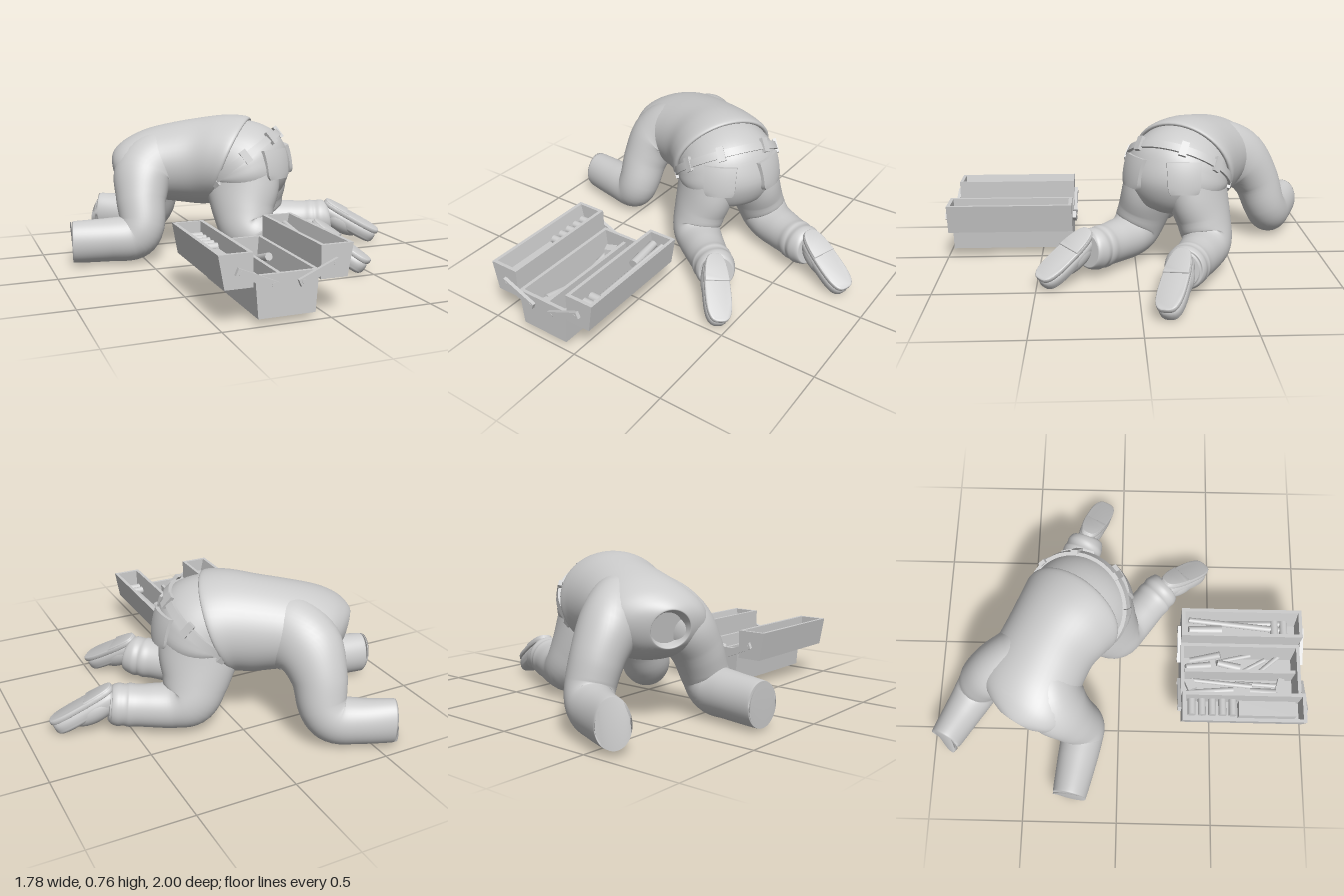
import * as THREE from 'three';
import { toCreasedNormals } from 'three/addons/utils/BufferGeometryUtils.js';

const grey = new THREE.MeshStandardMaterial({ color: 0xcccccc });
const V = (x, y, z) => new THREE.Vector3(x, y, z);

function add(parent, name, geometry, x = 0, y = 0, z = 0) {
  const mesh = new THREE.Mesh(geometry, grey);
  mesh.name = name;
  mesh.position.set(x, y, z);
  parent.add(mesh);
  return mesh;
}

// Smooth samples through rows of five or six numbers
function spline(rows, steps) {
  const curve = (f) => new THREE.CatmullRomCurve3(rows.map(f), false, 'catmullrom');
  const a = curve((r) => V(r[0], r[1], r[2]));
  const b = curve((r) => V(r[3], r[4], r[5] ?? 0));
  const n = (rows.length - 1) * steps;
  return Array.from({ length: n + 1 }, (_, i) => [a.getPoint(i / n), b.getPoint(i / n), a.getTangent(i / n)]);
}

// Skin over elliptical rings {c, u, v}, closed with flat end caps
function loft(rings, caps = true, seg = 48) {
  const pos = [], idx = [];
  const put = (p) => pos.push(p.x, p.y, p.z) / 3 - 1;
  const ring = ({ c, u, v }) => {
    const start = pos.length / 3;
    for (let j = 0; j < seg; j++) {
      const a = (j / seg) * Math.PI * 2;
      put(c.clone().addScaledVector(u, Math.cos(a)).addScaledVector(v, Math.sin(a)));
    }
    return start;
  };
  const starts = rings.map(ring);
  for (let i = 0; i < starts.length - 1; i++) {
    for (let j = 0; j < seg; j++) {
      const k = (j + 1) % seg, s = starts[i], t = starts[i + 1];
      idx.push(s + j, s + k, t + j, s + k, t + k, t + j);
    }
  }
  if (caps) [rings[0], rings[rings.length - 1]].forEach((r, end) => {
    const s = ring(r), m = put(r.c);
    for (let j = 0; j < seg; j++) {
      const k = (j + 1) % seg;
      idx.push(m, ...(end ? [s + j, s + k] : [s + k, s + j]));
    }
  });
  const g = new THREE.BufferGeometry();
  g.setAttribute('position', new THREE.Float32BufferAttribute(pos, 3));
  g.setIndex(idx);
  g.computeVertexNormals();
  return g;
}

// Trunk ring: height, depth, tilt in degrees, half width, half depth, sideways shift
function trunkRing(y, z, tilt, w, d, x = 0) {
  const t = THREE.MathUtils.degToRad(tilt);
  return { c: V(x, y, z), u: V(-w, 0, 0), v: V(0, Math.sin(t) * d, Math.cos(t) * d) };
}
const trunk = (rows) => loft(spline(rows, 5).map(([a, b]) => trunkRing(a.x, a.y, a.z, b.x, b.y, b.z)));

// Limb row: x, y, z, half width, half thickness
const limb = (rows) => loft(spline(rows, 6).map(([c, r, t]) => {
  const u = V(1, 0, 0).addScaledVector(t, -t.x).normalize();
  return { c, u: u.clone().multiplyScalar(r.x), v: t.clone().cross(u).multiplyScalar(r.y) };
}));

function extrude(points, depth, bevel = 0) {
  const g = new THREE.ExtrudeGeometry(new THREE.Shape(points.map((p) => new THREE.Vector2(...p))), {
    depth, bevelEnabled: bevel > 0, bevelSize: bevel, bevelThickness: bevel, bevelSegments: 5 });
  return toCreasedNormals(g, 0.6);
}

function shoe(parent, name, heel, toe) {
  const d = toe.clone().sub(heel).normalize();
  const n = V(0, 0.81, 0.58);
  n.addScaledVector(d, -n.dot(d)).normalize();
  const foot = new THREE.Group();
  foot.name = name;
  foot.quaternion.setFromRotationMatrix(new THREE.Matrix4().makeBasis(d.clone().cross(n), d, n));
  foot.position.copy(heel).lerp(toe, 0.5);
  parent.add(foot);
  // Blunt sole outline, wider at the ball of the foot
  const outline = (rx, ry) => Array.from({ length: 48 }, (_, i) => {
    const a = (i / 48) * Math.PI * 2, c = Math.cos(a), y = Math.sin(a);
    return [Math.sign(c) * Math.abs(c) ** 0.6 * rx * (1 + 0.1 * y), Math.sign(y) * Math.abs(y) ** 0.8 * ry];
  });
  const rim = outline(0.059, 0.174);
  add(foot, 'sole', extrude(rim, 0.012, 0.007), 0, 0, -0.017);
  add(foot, 'heelBlock', extrude(rim.filter((p) => p[1] < -0.03), 0.012, 0.005), 0, 0, -0.008);
  add(foot, 'upper', extrude(outline(0.036, 0.15), 0.018, 0.029), 0, 0, -0.064);
  const instep = add(foot, 'instep', new THREE.SphereGeometry(1, 28, 18), 0, -0.04, -0.065);
  instep.scale.set(0.067, 0.135, 0.068);
}

function buildFigure() {
  const fig = new THREE.Group();
  fig.name = 'kneelingFigure';
  fig.rotation.y = 1.0132;
  fig.position.set(0.117, 0, -0.187);

  add(fig, 'trouserSeat', trunk([
    [0.29, -0.03, 0, 0.12, 0.1], [0.345, -0.03, 0, 0.22, 0.185], [0.43, -0.03, 8, 0.27, 0.235],
    [0.48, -0.05, 25, 0.272, 0.25], [0.5, -0.07, 38, 0.266, 0.255], [0.51, -0.1, 55, 0.258, 0.245],
    [0.515, -0.16, 72, 0.25, 0.235]]));
  add(fig, 'shirt', trunk([
    [0.505, -0.14, 68, 0.24, 0.22], [0.51, -0.112, 68, 0.266, 0.242], [0.51, -0.13, 71, 0.28, 0.257],
    [0.51, -0.2, 82, 0.266, 0.25], [0.5, -0.3, 90, 0.25, 0.24], [0.493, -0.42, 96, 0.25, 0.223, -0.015],
    [0.482, -0.54, 103, 0.26, 0.203, -0.035], [0.465, -0.63, 106, 0.25, 0.18, -0.055],
    [0.46, -0.7, 105, 0.19, 0.14, -0.075], [0.46, -0.742, 104, 0.105, 0.1, -0.085],
    [0.46, -0.737, 104, 0.09, 0.088, -0.085], [0.46, -0.7, 104, 0.075, 0.075, -0.08]]));

  // Belt band with loops
  const t = THREE.MathUtils.degToRad(38), axis = V(0, Math.cos(t), -Math.sin(t)), mid = V(0, 0.502, -0.073);
  const band = [[-0.02, 0.258], [-0.02, 0.274], [0.02, 0.27], [0.02, 0.25]].map(([h, r]) => {
    const c = mid.clone().addScaledVector(axis, h);
    return trunkRing(c.y, c.z, 38, r + 0.011, r);
  });
  add(fig, 'belt', toCreasedNormals(loft(band, false), 0.7));
  for (const deg of [-115, -68, -27, 27, 68, 115]) {
    const a = THREE.MathUtils.degToRad(deg), back = V(0, Math.sin(t), Math.cos(t));
    const out = V(Math.sin(a), 0, 0).addScaledVector(back, Math.cos(a));
    const loop = add(fig, 'beltLoop', new THREE.BoxGeometry(0.038, 0.075, 0.02));
    loop.position.copy(mid).addScaledVector(out, 0.275);
    loop.quaternion.setFromRotationMatrix(new THREE.Matrix4().makeBasis(axis.clone().cross(out), axis, out));
  }

  for (const s of [-1, 1]) {
    // Back pocket, bent around the seat and narrowed at the bottom corners
    const g = new THREE.BoxGeometry(0.172, 0.16, 0.04, 14, 12, 1), p = g.attributes.position;
    for (let i = 0; i < p.count; i++) {
      const x = p.getX(i), y = p.getY(i), low = Math.max(0, -y / 0.08);
      p.setX(i, x * (1 - 0.08 * (0.5 - y / 0.16) - 0.15 * low ** 6));
      p.setZ(i, p.getZ(i) - 1.7 * x * x - 1.1 * y * y);
    }
    g.computeVertexNormals();
    const pocket = add(fig, 'backPocket', toCreasedNormals(g, 0.7), s * 0.147, 0.513, 0.156);
    pocket.rotation.set(-0.2, s * 0.56, 0, 'YXZ');

    // Folded leg with a gathered cuff
    add(fig, s > 0 ? 'leftLeg' : 'rightLeg', limb([
      [s * 0.11, 0.48, -0.035, 0.145, 0.2], [s * 0.142, 0.36, -0.03, 0.138, 0.195], [s * 0.178, 0.25, -0.02, 0.13, 0.165],
      [s * 0.207, 0.165, 0.005, 0.125, 0.14], [s * 0.218, 0.134, 0.08, 0.118, 0.118], [s * 0.235, 0.132, 0.19, 0.108, 0.11],
      [s * 0.245, 0.134, 0.26, 0.103, 0.107], [s * 0.25, 0.136, 0.3, 0.106, 0.11], [s * 0.254, 0.138, 0.325, 0.101, 0.105],
      [s * 0.258, 0.14, 0.355, 0.104, 0.108], [s * 0.262, 0.142, 0.385, 0.094, 0.098], [s * 0.266, 0.144, 0.4, 0.078, 0.083]]));
  }
  shoe(fig, 'leftShoe', V(0.258, 0.252, 0.378), V(0.325, 0.066, 0.698));
  shoe(fig, 'rightShoe', V(-0.27, 0.252, 0.368), V(-0.374, 0.066, 0.674));

  // Arms flow out of the shoulders, rest on the forearms and are cut flat at the wrists
  add(fig, 'leftArm', limb([
    [0.04, 0.49, -0.4, 0.16, 0.19], [0.085, 0.488, -0.48, 0.158, 0.19], [0.15, 0.445, -0.565, 0.147, 0.17],
    [0.215, 0.335, -0.62, 0.127, 0.137], [0.258, 0.2, -0.645, 0.116, 0.12], [0.268, 0.135, -0.705, 0.112, 0.122],
    [0.262, 0.125, -0.82, 0.1, 0.116], [0.25, 0.13, -0.975, 0.084, 0.114], [0.248, 0.13, -0.99, 0.078, 0.107]]));
  add(fig, 'rightArm', limb([
    [-0.05, 0.49, -0.4, 0.16, 0.19], [-0.11, 0.488, -0.49, 0.158, 0.19], [-0.2, 0.445, -0.56, 0.147, 0.17],
    [-0.275, 0.335, -0.56, 0.127, 0.137], [-0.33, 0.2, -0.54, 0.116, 0.12], [-0.355, 0.135, -0.58, 0.112, 0.122],
    [-0.4, 0.125, -0.69, 0.105, 0.116], [-0.467, 0.12, -0.86, 0.09, 0.111], [-0.472, 0.12, -0.874, 0.084, 0.104]]));
  return fig;
}

// Open tray with slanted sides: bottom and top edges in x, bottom and top in y
function tray(parent, name, bl, br, tl, tr, y0, y1) {
  const w = 0.018, z0 = 0.332, len = 0.646;
  add(parent, name, extrude([[bl, y0], [br, y0], [tr, y1], [tr - w, y1], [br - w, y0 + w],
    [bl + w, y0 + w], [tl + w, y1], [tl, y1]], len - 2 * w), 0, 0, z0 + w);
  for (const z of [z0, z0 + len - w]) {
    add(parent, name + 'End', extrude([[bl, y0], [br, y0], [tr, y1], [tl, y1]], w), 0, 0, z);
  }
}

function buildToolbox() {
  const box = new THREE.Group();
  box.name = 'toolbox';
  const cx = -0.197;
  tray(box, 'mainBox', -0.33, -0.065, -0.345, -0.05, 0.025, 0.215);
  tray(box, 'rightTray', -0.48, -0.352, -0.507, -0.352, 0.167, 0.317);
  tray(box, 'leftTray', -0.042, 0.086, -0.042, 0.113, 0.167, 0.317);
  add(box, 'divider', new THREE.BoxGeometry(0.018, 0.15, 0.6), cx, 0.115, 0.655);

  // Folding links at both ends
  for (const s of [-1, 1]) for (const z of [0.322, 0.988]) {
    const link = add(box, 'link', new THREE.BoxGeometry(0.2, 0.034, 0.018), cx + s * 0.142, 0.205, z);
    link.rotation.z = s * 0.41;
    for (const e of [-0.08, 0.08]) {
      const pin = add(link, 'pin', new THREE.CylinderGeometry(0.01, 0.01, 0.022, 12), e, 0, 0);
      pin.rotation.x = Math.PI / 2;
    }
  }

  // Sockets and a long case in the right tray
  for (let i = 0; i < 5; i++) {
    const socket = add(box, 'socket', new THREE.CylinderGeometry(0.021, 0.021, 0.085, 16), -0.418, 0.25, 0.385 + i * 0.054);
    socket.rotation.z = Math.PI / 2;
  }
  add(box, 'longCase', new THREE.BoxGeometry(0.08, 0.07, 0.3), -0.42, 0.217, 0.785);

  // Rod tools: x, y, z, length, radius, yaw, pitch
  const rods = [
    [-0.285, 0.09, 0.5, 0.26, 0.016, 0.1, 0.1], [-0.245, 0.11, 0.56, 0.34, 0.014, -0.06, 0.1],
    [-0.285, 0.1, 0.79, 0.14, 0.02, -0.1, -0.15], [-0.24, 0.08, 0.76, 0.24, 0.013, -0.05, 0],
    [-0.155, 0.13, 0.43, 0.14, 0.02, 0.15, 0.2], [-0.11, 0.14, 0.47, 0.17, 0.02, 0.12, -0.3],
    [-0.145, 0.12, 0.6, 0.13, 0.022, -0.15, 0.2], [-0.1, 0.1, 0.63, 0.2, 0.013, 0.25, 0.1],
    [-0.14, 0.08, 0.73, 0.18, 0.012, 0.5, 0], [-0.12, 0.07, 0.83, 0.15, 0.014, 0.7, 0],
    [0.045, 0.25, 0.62, 0.5, 0.018, -0.06, 0.1], [0.01, 0.26, 0.46, 0.18, 0.026, 0.05, 0.1],
    [0.06, 0.23, 0.7, 0.36, 0.016, 0.02, 0]];
  for (const [x, y, z, len, r, yaw, pitch] of rods) {
    const g = new THREE.CylinderGeometry(r, r * 0.8, len, 12).rotateX(Math.PI / 2);
    add(box, 'handTool', g, x, y, z).rotation.set(pitch, yaw, 0, 'YXZ');
  }
  // Hammer head, wrench head and tape rolls
  add(box, 'hammerHead', new THREE.BoxGeometry(0.085, 0.04, 0.035), -0.255, 0.1, 0.88).rotation.y = -0.3;
  add(box, 'wrenchHead', new THREE.BoxGeometry(0.055, 0.04, 0.05), -0.265, 0.13, 0.39).rotation.y = 0.4;
  for (const z of [0.84, 0.89]) {
    const roll = add(box, 'tapeRoll', new THREE.CylinderGeometry(0.022, 0.022, 0.085, 16), 0.032, 0.235, z);
    roll.rotation.z = Math.PI / 2;
  }
  return box;
}

export function createModel() {
  const model = new THREE.Group();
  model.name = 'kneelingWorkerWithToolbox';
  model.add(buildFigure(), buildToolbox());
  return model;
}
